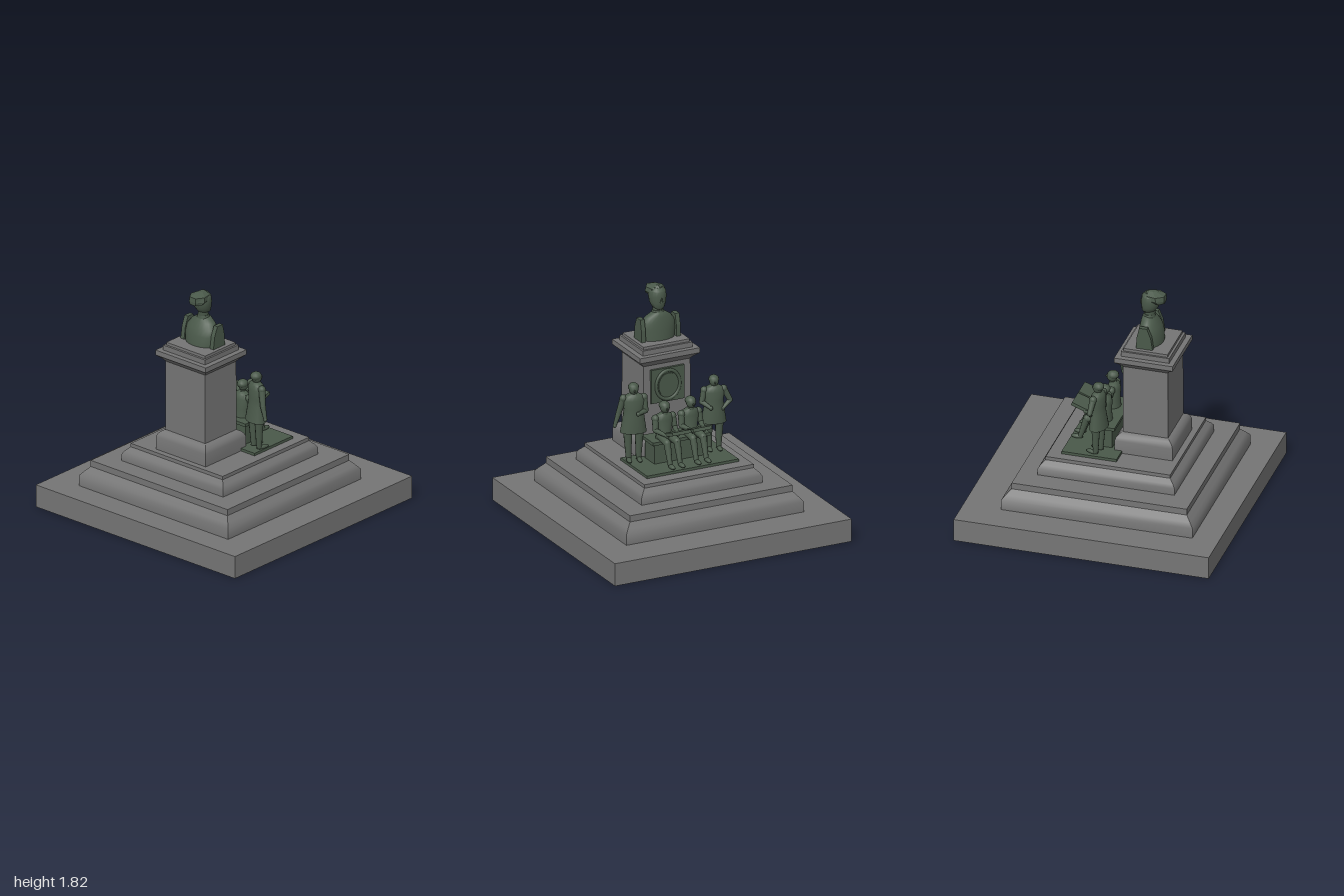
import * as THREE from 'three';
import { toCreasedNormals } from 'three/addons/utils/BufferGeometryUtils.js';

const stone = new THREE.MeshStandardMaterial({ color: 0x757575 });
stone.name = 'grey stone';
const bronze = new THREE.MeshStandardMaterial({ color: 0x4a594a });
bronze.name = 'green bronze';

function add(parent, name, geometry, material = bronze) {
  const mesh = new THREE.Mesh(geometry, material);
  mesh.name = name;
  parent.add(mesh);
  return mesh;
}

// Skin over stacked rings [y, half width, half depth, centre z]; four sides give a square plan.
function loft(rings, sides = 16, crease = 0.7) {
  const k = sides === 4 ? Math.SQRT2 : 1;
  const loops = rings.map(([y, hx, hz, cz = 0]) => Array.from({ length: sides }, (_, i) => {
    const a = ((i + 0.5) / sides) * Math.PI * 2;
    return [Math.sin(a) * hx * k, y, cz + Math.cos(a) * hz * k];
  }));
  const p = [];
  const last = loops.length - 1;
  for (let i = 0; i < sides; i++) {
    const j = (i + 1) % sides;
    for (let r = 0; r < last; r++) {
      const a = loops[r][i], b = loops[r][j], c = loops[r + 1][j], d = loops[r + 1][i];
      p.push(...a, ...b, ...c, ...a, ...c, ...d);
    }
    if (i > 0 && i < sides - 1) {
      p.push(...loops[last][0], ...loops[last][i], ...loops[last][j]);
      p.push(...loops[0][0], ...loops[0][j], ...loops[0][i]);
    }
  }
  const g = new THREE.BufferGeometry();
  g.setAttribute('position', new THREE.Float32BufferAttribute(p, 3));
  return toCreasedNormals(g, crease);
}

// Tapered round limb from a to b
function limb(parent, name, a, b, ra, rb) {
  const from = new THREE.Vector3(...a), to = new THREE.Vector3(...b);
  const dir = to.clone().sub(from);
  const m = add(parent, name, new THREE.CylinderGeometry(rb, ra, dir.length(), 10));
  m.position.copy(from).add(to).multiplyScalar(0.5);
  m.quaternion.setFromUnitVectors(new THREE.Vector3(0, 1, 0), dir.normalize());
}

function ball(parent, name, pos, rx, ry = rx, rz = rx) {
  const m = add(parent, name, new THREE.SphereGeometry(1, 12, 8));
  m.scale.set(rx, ry, rz);
  m.position.set(...pos);
}

function box(parent, name, size, pos, material = bronze) {
  const m = add(parent, name, new THREE.BoxGeometry(...size), material);
  m.position.set(...pos);
  return m;
}

function arm(parent, shoulder, elbow, hand) {
  ball(parent, 'shoulder', shoulder, 0.03);
  limb(parent, 'upperArm', shoulder, elbow, 0.027, 0.021);
  ball(parent, 'elbow', elbow, 0.021);
  limb(parent, 'forearm', elbow, hand, 0.021, 0.014);
  ball(parent, 'hand', hand, 0.015, 0.018, 0.015);
}

// Head with hair and nose, looking toward -z
function head(parent, y, z) {
  limb(parent, 'neck', [0, y - 0.06, z], [0, y - 0.02, z], 0.024, 0.02);
  ball(parent, 'head', [0, y, z], 0.037, 0.045, 0.041);
  ball(parent, 'hair', [0, y + 0.013, z + 0.009], 0.042, 0.034, 0.044);
  ball(parent, 'nose', [0, y - 0.005, z - 0.042], 0.006, 0.01, 0.009);
}

function standing(name, x, z, height, yaw, arms) {
  const g = new THREE.Group();
  g.name = name;
  for (const s of [-1, 1]) {
    ball(g, 'shoe', [s * 0.04, 0.016, -0.03], 0.02, 0.017, 0.055);
    limb(g, 'leg', [s * 0.038, 0.01, 0], [s * 0.045, 0.26, 0.005], 0.02, 0.036);
  }
  add(g, 'coat', loft([[0.23, 0.102, 0.066, 0.008], [0.36, 0.082, 0.055], [0.42, 0.075, 0.05],
    [0.49, 0.088, 0.052], [0.525, 0.07, 0.043], [0.545, 0.028, 0.026]]));
  head(g, 0.577, -0.005);
  arms.forEach(a => arm(g, ...a));
  g.position.set(x, 0.545, z);
  g.rotation.y = yaw;
  g.scale.setScalar(height / 0.622);
  return g;
}

function seated(x) {
  const g = new THREE.Group();
  g.name = 'seatedFigure';
  add(g, 'torso', loft([[0.715, 0.07, 0.06, -0.085], [0.79, 0.06, 0.048, -0.08],
    [0.87, 0.074, 0.048, -0.078], [0.905, 0.062, 0.042, -0.08], [0.925, 0.025, 0.025, -0.085]]));
  head(g, 0.968, -0.095);
  for (const s of [-1, 1]) {
    limb(g, 'thigh', [s * 0.035, 0.745, -0.09], [s * 0.042, 0.725, -0.21], 0.037, 0.029);
    ball(g, 'knee', [s * 0.042, 0.725, -0.212], 0.029);
    limb(g, 'shin', [s * 0.042, 0.725, -0.215], [s * 0.042, 0.565, -0.265], 0.028, 0.018);
    ball(g, 'shoe', [s * 0.042, 0.561, -0.29], 0.02, 0.017, 0.048);
    arm(g, [s * 0.072, 0.882, -0.08], [s * 0.082, 0.795, -0.1], [s * 0.045, 0.785, -0.225]);
  }
  g.position.x = x;
  return g;
}

function makeBust() {
  const g = new THREE.Group();
  g.name = 'bust';
  add(g, 'chest', loft([[1.4, 0.142, 0.097, 0.247], [1.48, 0.148, 0.09, 0.247], [1.53, 0.138, 0.077, 0.24],
    [1.575, 0.105, 0.06, 0.232], [1.605, 0.06, 0.045, 0.225], [1.615, 0.04, 0.035, 0.225]], 24));
  // Cut-off upper arms
  const outline = new THREE.Shape([[-0.305, 1.4], [-0.175, 1.4], [-0.18, 1.49], [-0.2, 1.575], [-0.26, 1.575],
    [-0.29, 1.5]].map(p => new THREE.Vector2(...p)));
  for (const x of [-0.165, 0.13]) {
    const m = add(g, 'cutArm', new THREE.ExtrudeGeometry(outline, { depth: 0.035, bevelEnabled: false }));
    m.rotation.y = Math.PI / 2;
    m.position.x = x;
  }
  add(g, 'collar', loft([[1.6, 0.052, 0.048, 0.23], [1.625, 0.044, 0.042, 0.232]]));
  add(g, 'neck', loft([[1.6, 0.04, 0.04, 0.232], [1.67, 0.038, 0.04, 0.24]]));
  add(g, 'head', loft([[1.638, 0.026, 0.03, 0.212], [1.655, 0.048, 0.052, 0.225], [1.69, 0.063, 0.066, 0.237],
    [1.74, 0.069, 0.073, 0.242], [1.78, 0.064, 0.068, 0.242], [1.805, 0.04, 0.045, 0.242]]));
  add(g, 'hair', loft([[1.735, 0.058, 0.055, 0.305], [1.76, 0.076, 0.082, 0.283], [1.795, 0.07, 0.085, 0.277],
    [1.82, 0.018, 0.035, 0.255]], 7, 0.1));
  const nose = add(g, 'nose', new THREE.ConeGeometry(0.013, 0.045, 6));
  nose.position.set(0, 1.72, 0.168);
  nose.rotation.x = -0.3;
  return g;
}

export function createModel() {
  const root = new THREE.Group();
  root.name = 'monument';

  // Stepped stone base
  box(root, 'plinth', [2, 0.18, 2], [0, 0.09, 0], stone);
  const c = 0.046;
  add(root, 'lowerStep', loft([[0.18, 0.75, 0.75, c], [0.262, 0.75, 0.75, c], [0.295, 0.724, 0.724, c],
    [0.335, 0.687, 0.687, c], [0.385, 0.687, 0.687, c]], 4), stone);
  add(root, 'upperStep', loft([[0.385, 0.51, 0.536, c], [0.44, 0.51, 0.536, c], [0.465, 0.494, 0.52, c],
    [0.497, 0.462, 0.488, c], [0.525, 0.462, 0.488, c]], 4), stone);

  // Pedestal with foot moulding and cornice
  const z = 0.26;
  add(root, 'pedestalFoot', loft([[0.525, 0.25, 0.227, z], [0.625, 0.25, 0.227, z], [0.65, 0.242, 0.219, z],
    [0.67, 0.225, 0.202, z], [0.685, 0.2, 0.177, z]], 4), stone);
  add(root, 'shaft', loft([[0.68, 0.2, 0.177, z], [1.25, 0.198, 0.175, z]], 4), stone);
  add(root, 'cornice', loft([[1.245, 0.198, 0.175, z], [1.262, 0.212, 0.188, z], [1.298, 0.253, 0.23, z],
    [1.338, 0.253, 0.23, z]], 4), stone);
  add(root, 'capLower', loft([[1.338, 0.21, 0.19, z], [1.378, 0.21, 0.19, z]], 4), stone);
  add(root, 'capUpper', loft([[1.378, 0.195, 0.172, z], [1.4, 0.195, 0.172, z]], 4), stone);
  root.add(makeBust());

  // Relief plaque on the pedestal
  box(root, 'plaque', [0.28, 0.27, 0.022], [0, 1.075, 0.076]);
  const ring = add(root, 'plaqueRing', new THREE.TorusGeometry(0.1, 0.012, 8, 32));
  ring.position.set(0, 1.075, 0.065);
  ring.scale.y = 1.15;
  const field = add(root, 'plaqueField', new THREE.CylinderGeometry(0.082, 0.082, 0.012, 28));
  field.position.set(0, 1.075, 0.063);
  field.rotation.x = Math.PI / 2;
  field.scale.z = 1.15;

  // Figure platform and bench
  box(root, 'platform', [0.775, 0.022, 0.432], [0, 0.535, -0.125]);
  box(root, 'bench', [0.45, 0.16, 0.155], [0, 0.62, -0.07]);
  box(root, 'benchSeat', [0.485, 0.025, 0.19], [0, 0.71, -0.065]);

  // Seated pair sharing a large open book
  for (const s of [-1, 1]) {
    root.add(seated(s * 0.11));
    const leaf = box(root, 'bookHalf', [0.157, 0.026, 0.15], [s * 0.087, 0.812, -0.26]);
    leaf.rotation.x = 0.35;
  }

  // Standing pair
  root.add(standing('standingFigureRight', -0.315, -0.075, 0.597, -0.25, [
    [[-0.078, 0.505, 0], [-0.13, 0.405, 0.0], [-0.065, 0.35, -0.03]],
    [[0.078, 0.505, 0], [0.1, 0.41, -0.01], [0.04, 0.375, -0.075]]]));
  root.add(standing('standingFigureLeft', 0.325, 0, 0.622, -0.28, [
    [[0.078, 0.505, 0], [0.112, 0.385, 0.012], [0.142, 0.285, 0.01]],
    [[-0.078, 0.505, 0], [-0.09, 0.4, -0.015], [-0.02, 0.4, -0.08]]]));
  return root;
}
